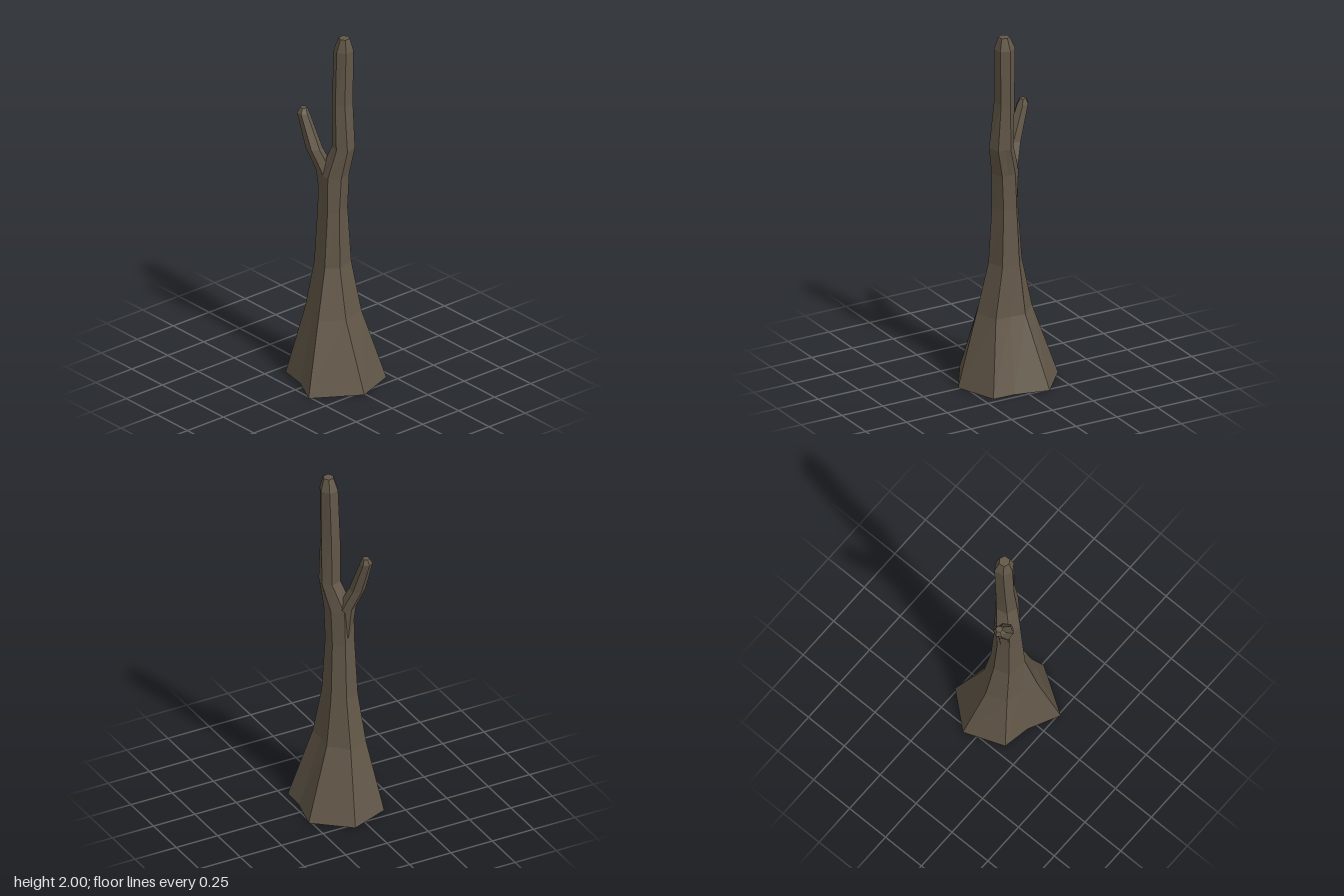
import * as THREE from 'three';

// Skin a stack of rings { y, pts: [[x, z], ...] } with flat caps at both ends
function loft(rings) {
  const pos = [];
  const n = rings[0].pts.length;
  const at = (r, j) => [r.pts[j % n][0], r.y, r.pts[j % n][1]];
  const mid = r => [
    r.pts.reduce((s, p) => s + p[0], 0) / n, r.y,
    r.pts.reduce((s, p) => s + p[1], 0) / n];
  for (let i = 0; i < rings.length - 1; i++) {
    const lo = rings[i], hi = rings[i + 1];
    for (let j = 0; j < n; j++) {
      const a = at(lo, j), b = at(lo, j + 1), c = at(hi, j), d = at(hi, j + 1);
      pos.push(...a, ...c, ...b, ...b, ...c, ...d);
    }
  }
  const first = rings[0], last = rings[rings.length - 1];
  for (let j = 0; j < n; j++) {
    pos.push(...mid(last), ...at(last, j + 1), ...at(last, j));
    pos.push(...mid(first), ...at(first, j), ...at(first, j + 1));
  }
  const g = new THREE.BufferGeometry();
  g.setAttribute('position', new THREE.Float32BufferAttribute(pos, 3));
  g.computeVertexNormals();
  return g;
}

// Six-cornered ring with two extra mid-side points, to match the root flare
function six(y, ...p) {
  const half = (a, b) => [(a[0] + b[0]) / 2, (a[1] + b[1]) / 2];
  return { y, pts: [p[0], half(p[0], p[1]), p[1], p[2], p[3], half(p[3], p[4]), p[4], p[5]] };
}

// Regular hexagonal ring
function hex(y, cx, cz, rx, rz, turn = 0) {
  const pts = [];
  for (let j = 0; j < 6; j++) {
    const a = turn + j * Math.PI / 3;
    pts.push([cx + rx * Math.cos(a), cz + rz * Math.sin(a)]);
  }
  return { y, pts };
}

export function createModel() {
  const group = new THREE.Group();
  group.name = 'deadTree';
  const bark = new THREE.MeshStandardMaterial({ color: 0x625748, flatShading: true });
  bark.name = 'bark';

  const add = (name, rings) => {
    const mesh = new THREE.Mesh(loft(rings), bark);
    mesh.name = name;
    group.add(mesh);
  };

  // Flared trunk that bends into the tall leader
  add('trunk', [
    { y: 0, pts: [[-0.12, -0.265], [0.07, -0.22], [0.197, -0.217], [0.283, 0.01],
      [0.125, 0.263], [-0.045, 0.178], [-0.197, 0.15], [-0.283, -0.072]] },
    { y: 0.4, pts: [[-0.055, -0.12], [0.03, -0.108], [0.12, -0.11], [0.157, 0.03],
      [0.07, 0.15], [-0.02, 0.11], [-0.11, 0.088], [-0.15, -0.027]] },
    six(0.68, [-0.04, -0.085], [0.065, -0.085], [0.092, 0.017], [0.045, 0.083], [-0.065, 0.063], [-0.092, -0.02]),
    six(1.0, [-0.03, -0.072], [0.05, -0.072], [0.077, 0.008], [0.043, 0.062], [-0.05, 0.052], [-0.07, -0.015]),
    six(1.2, [-0.02, -0.075], [0.06, -0.075], [0.083, 0], [0.037, 0.055], [-0.045, 0.05], [-0.07, -0.02]),
    six(1.36, [0.025, -0.105], [0.092, -0.088], [0.11, -0.02], [0.06, 0.015], [0, -0.005], [-0.015, -0.065]),
    six(1.62, [0.028, -0.106], [0.075, -0.088], [0.083, -0.025], [0.043, 0.008], [-0.008, -0.012], [-0.017, -0.07]),
    six(1.93, [0.03, -0.108], [0.08, -0.088], [0.086, -0.03], [0.042, -0.003], [-0.008, -0.025], [-0.016, -0.08]),
    six(2.0, [0.036, -0.087], [0.064, -0.076], [0.067, -0.043], [0.043, -0.028], [0.015, -0.04], [0.011, -0.07]),
  ]);

  // Short side branch, rooted inside the trunk
  add('sideBranch', [
    hex(1.04, -0.02, 0.005, 0.046, 0.04),
    hex(1.22, -0.037, 0.012, 0.05, 0.048),
    hex(1.34, -0.08, 0.05, 0.046, 0.044),
    hex(1.53, -0.148, 0.069, 0.034, 0.033),
    hex(1.56, -0.148, 0.066, 0.019, 0.019),
  ]);
  return group;
}
